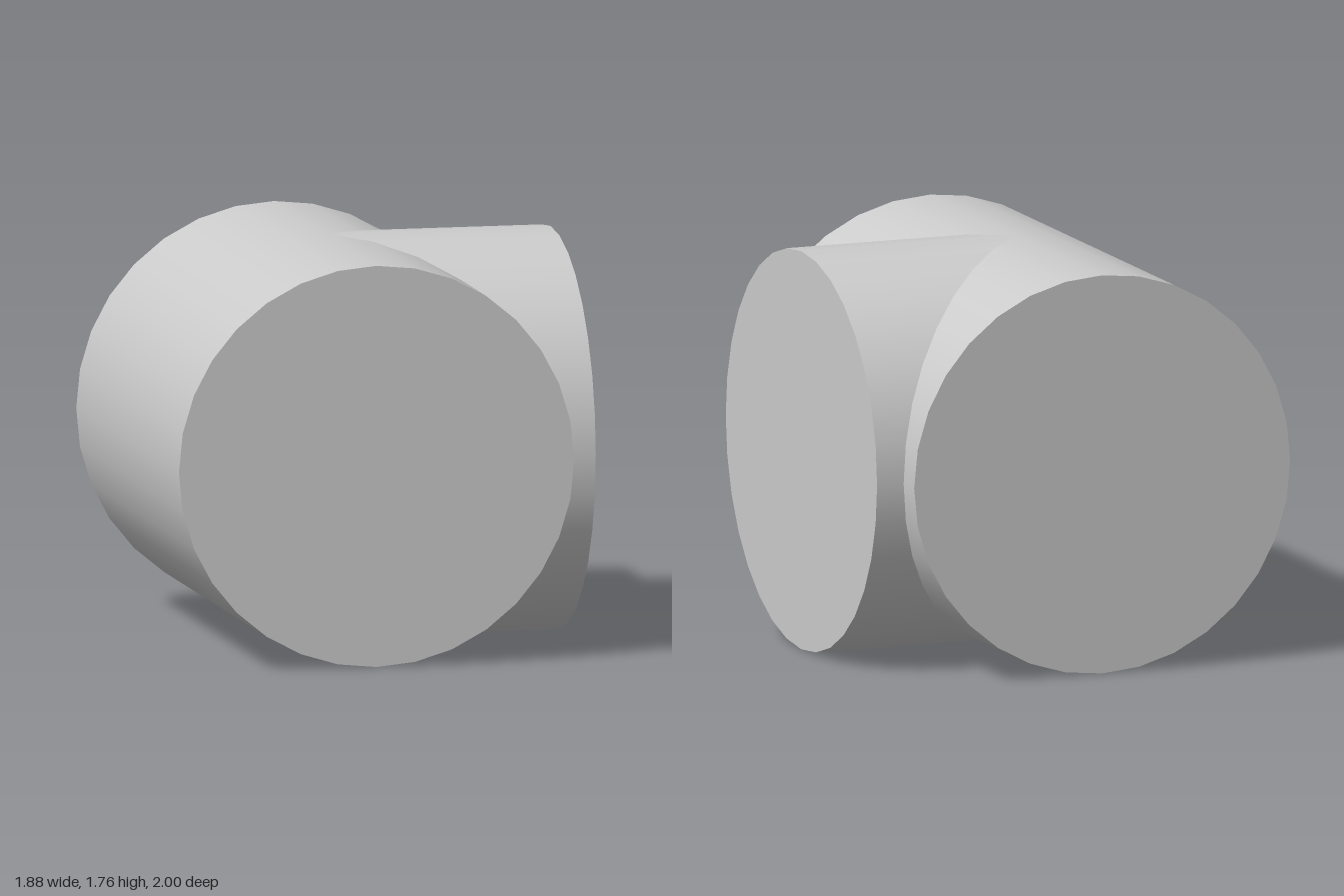
import * as THREE from 'three';

const R = 0.878;      // radius shared by both pipes
const SIDES = 32;
const AXIS_X = -0.062; // x of the main pipe's axis
const END_X = 0.94;   // outer end of the branch

export function createModel() {
  const group = new THREE.Group();
  const material = new THREE.MeshStandardMaterial({ color: 0xcccccc });
  const add = (name, geometry, x) => {
    const mesh = new THREE.Mesh(geometry, material);
    mesh.name = name;
    mesh.position.set(x, R, 0);
    group.add(mesh);
  };

  // Main pipe, running front to back
  add('mainPipe', new THREE.CylinderGeometry(R, R, 2, SIDES).rotateX(Math.PI / 2), AXIS_X);

  // Side branch, its inner rim mitred to meet the main pipe at 45 degrees
  const length = END_X - AXIS_X;
  const branch = new THREE.CylinderGeometry(R, R, length, SIDES, 1, true)
    .rotateZ(-Math.PI / 2)
    .translate(length / 2, 0, 0);
  const p = branch.attributes.position;
  for (let i = 0; i < p.count; i++) {
    if (p.getX(i) < length / 2) p.setX(i, Math.abs(p.getZ(i)));
  }
  add('branchPipe', branch, AXIS_X);

  // Flat end of the branch
  add('branchCap', new THREE.CircleGeometry(R, SIDES).rotateY(Math.PI / 2), END_X);

  return group;
}
